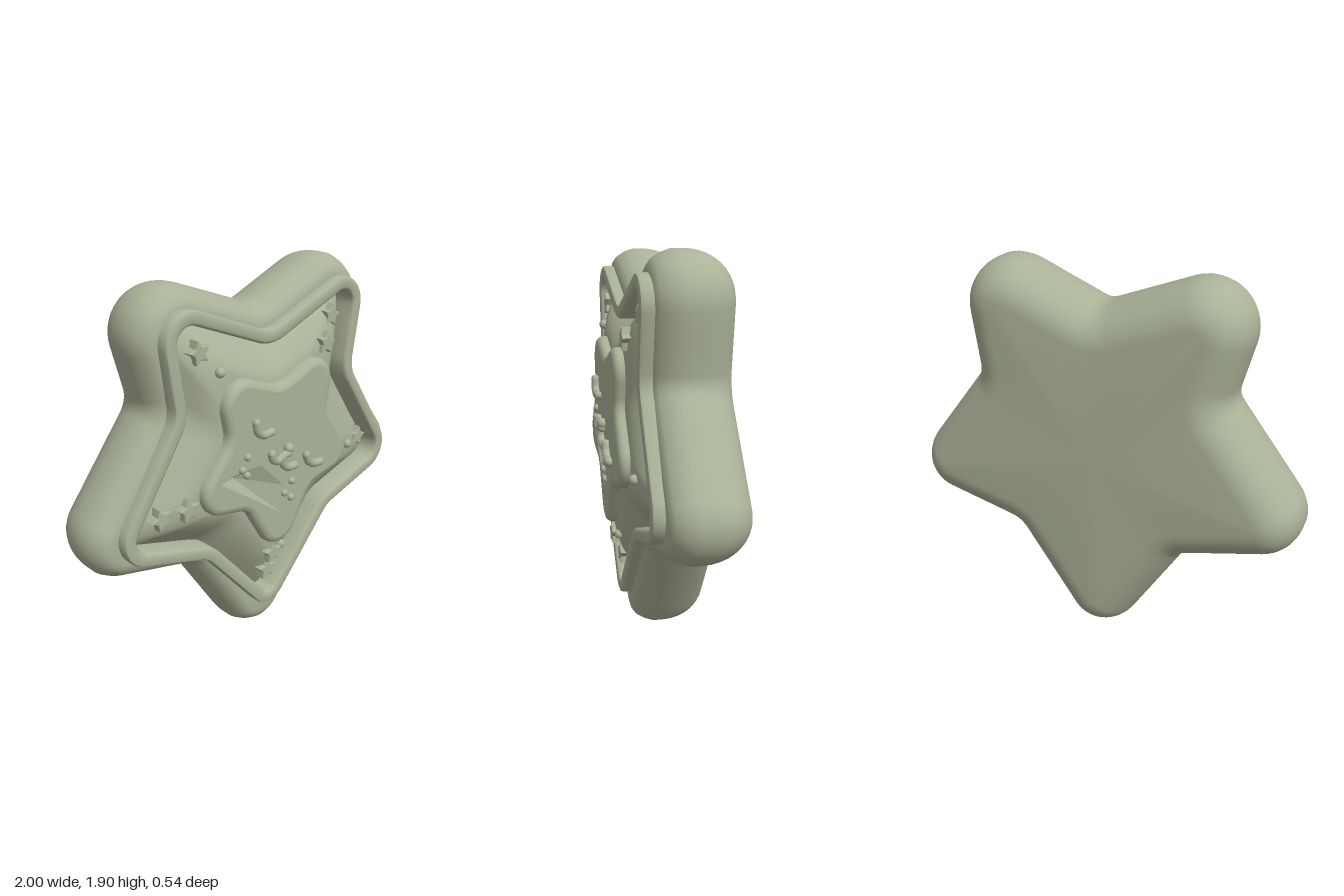
import * as THREE from 'three';
import { toCreasedNormals } from 'three/addons/utils/BufferGeometryUtils.js';

const sage = new THREE.MeshStandardMaterial({ color: 0xaab298 });
sage.name = 'sage';

// Rounded star from circles [x, y, r]: r > 0 is a tip, r < 0 a notch.
// Returns loop(inset, z), which always has the same point count.
function roundedStar(circles) {
  const n = circles.length, pts = [];
  const tangent = circles.map(([x, y, r], i) => {
    const [x2, y2, r2] = circles[(i + 1) % n];
    return Math.atan2(y2 - y, x2 - x) - Math.acos((r - r2) / Math.hypot(x2 - x, y2 - y));
  });
  const at = (i, a) => {
    const [x, y, r] = circles[i % n];
    return { x: x + r * Math.cos(a), y: y + r * Math.sin(a), nx: Math.cos(a), ny: Math.sin(a) };
  };
  const TAU = Math.PI * 2, ARC = 14, LINE = 5;
  for (let i = 0; i < n; i++) {
    const start = tangent[(i + n - 1) % n];
    let sweep = (((tangent[i] - start) % TAU) + TAU) % TAU;
    if (circles[i][2] < 0) sweep -= TAU;
    for (let k = 0; k <= ARC; k++) pts.push(at(i, start + sweep * k / ARC));
    const a = at(i, tangent[i]), b = at(i + 1, tangent[i]);
    for (let k = 1; k < LINE; k++) {
      const t = k / LINE;
      pts.push({ x: a.x + (b.x - a.x) * t, y: a.y + (b.y - a.y) * t, nx: a.nx, ny: a.ny });
    }
  }
  return (inset, z) => pts.map(p => new THREE.Vector3(p.x - p.nx * inset, p.y - p.ny * inset, z));
}

// Skin over loops running back to front, with an optional fan at the back
function loft(loops, backCentre) {
  const n = loops[0].length, pos = loops.flat().flatMap(p => [p.x, p.y, p.z]), index = [];
  for (let i = 0; i < loops.length - 1; i++) {
    for (let j = 0; j < n; j++) {
      const a = i * n + j, b = i * n + (j + 1) % n;
      index.push(a, b, b + n, a, b + n, a + n);
    }
  }
  if (backCentre) {
    const c = pos.length / 3;
    pos.push(...backCentre);
    for (let j = 0; j < n; j++) index.push(c, (j + 1) % n, j);
  }
  const g = new THREE.BufferGeometry();
  g.setAttribute('position', new THREE.Float32BufferAttribute(pos, 3));
  g.setIndex(index);
  return toCreasedNormals(g, 0.65);
}

export function createModel() {
  const model = new THREE.Group();
  model.name = 'starDish';
  const add = (name, geometry, parent = model) => {
    const mesh = new THREE.Mesh(geometry, sage);
    mesh.name = name;
    parent.add(mesh);
    return mesh;
  };
  const group = name => {
    const g = new THREE.Group();
    g.name = name;
    model.add(g);
    return g;
  };

  const bodyStar = roundedStar([
    [0, 0.195, 0.195], [0.517, 0.426, -0.1], [0.8, 0.81, 0.2], [0.75, 1.364, -0.1], [0.46, 1.675, 0.23],
    [0, 1.86, -0.12], [-0.48, 1.67, 0.225], [-0.74, 1.38, -0.1], [-0.8, 0.81, 0.2], [-0.5, 0.43, -0.1]]);
  const ringStar = roundedStar([
    [0, 0.285, 0.12], [0.515, 0.455, -0.15], [0.74, 0.83, 0.14], [0.73, 1.365, -0.15], [0.485, 1.665, 0.14],
    [0, 1.785, -0.15], [-0.48, 1.665, 0.14], [-0.73, 1.375, -0.15], [-0.74, 0.83, 0.14], [-0.5, 0.455, -0.15]]);
  const plateStar = roundedStar([
    [0, 0.67, 0.12], [0.28, 0.71, -0.1], [0.36, 0.95, 0.12], [0.43, 1.215, -0.1], [0.23, 1.34, 0.12],
    [0, 1.54, -0.15], [-0.23, 1.34, 0.12], [-0.43, 1.215, -0.1], [-0.36, 0.95, 0.12], [-0.28, 0.71, -0.1]]);

  // Pillowy body with a flat back
  const body = [];
  for (let k = 0; k <= 10; k++) {
    const a = k / 10 * Math.PI / 2;
    body.push(bodyStar(0.185 * (1 - Math.sin(a)), -0.05 - 0.22 * Math.cos(a)));
  }
  body.push(bodyStar(0, 0), bodyStar(0.015, 0.045), bodyStar(0.04, 0.085), bodyStar(0.065, 0.103),
    bodyStar(0.09, 0.11), ringStar(0.01, 0.11));
  add('body', loft(body, [0, 1, -0.27]));

  // Raised rim with its inner wall
  add('rim', loft([
    ringStar(0, 0.1), ringStar(0, 0.152), ringStar(0.005, 0.161), ringStar(0.015, 0.165),
    ringStar(0.05, 0.165), ringStar(0.06, 0.16), ringStar(0.065, 0.15), ringStar(0.065, 0.04)]));

  // Domed floor rising from the rim to the middle plate
  const edge = ringStar(0.065, 0.05), middle = plateStar(0.02, 0.185), floor = [];
  for (let k = 0; k <= 12; k++) {
    const t = k / 12, z = 0.05 + 0.135 * Math.sin(t * Math.PI / 2);
    floor.push(edge.map((p, j) => p.clone().lerp(middle[j], t).setZ(z)));
  }
  add('floor', loft(floor));
  const floorPoints = floor.flat();
  const floorHeight = (x, y) => floorPoints.reduce((best, p) =>
    Math.hypot(p.x - x, p.y - y) < Math.hypot(best.x - x, best.y - y) ? p : best).z;

  // Middle plate, its face pierced by a shallow dent
  add('plateSide', loft([
    plateStar(0, 0.15), plateStar(0, 0.205), plateStar(0.006, 0.22), plateStar(0.018, 0.231), plateStar(0.035, 0.235)]));
  const face = new THREE.Shape(plateStar(0.035, 0).map(p => new THREE.Vector2(p.x, p.y)));
  const dentRim = [[-0.39, 1.0], [0, 0.72], [0.01, 0.87], [-0.14, 1.02], [-0.32, 1.02]];
  face.holes.push(new THREE.Path(dentRim.map(p => new THREE.Vector2(...p))));
  add('plateFace', new THREE.ShapeGeometry(face)).position.z = 0.235;
  const dent = new THREE.BufferGeometry();
  dent.setAttribute('position', new THREE.Float32BufferAttribute(dentRim.flatMap((p, i) =>
    [-0.28, 0.985, 0.185, ...p, 0.235, ...dentRim[(i + 1) % 5], 0.235]), 3));
  dent.computeVertexNormals();
  add('plateDent', dent);

  // Sleeping eyes and mouth drawn with round-ended strokes
  const stroke = (name, points) => {
    const g = group(name), r = 0.021;
    const path = points.map(([x, y]) => new THREE.Vector3(x, y, 0.25));
    add(name + 'Line', new THREE.TubeGeometry(new THREE.CatmullRomCurve3(path), 20, r, 10), g);
    for (const p of [path[0], path[path.length - 1]]) {
      add(name + 'End', new THREE.SphereGeometry(r, 12, 8), g).position.copy(p);
    }
  };
  stroke('rightEye', [[-0.185, 1.25], [-0.175, 1.205], [-0.14, 1.18], [-0.09, 1.182]]);
  stroke('leftEye', [[0.155, 0.99], [0.17, 0.955], [0.205, 0.93], [0.255, 0.925]]);
  stroke('upperMouth', [[-0.085, 1.065], [-0.075, 1.035], [-0.045, 1.02], [-0.01, 1.035], [0.03, 1.04]]);
  stroke('lowerMouth', [[-0.01, 1.03], [-0.005, 0.99], [0.025, 0.965], [0.07, 0.962]]);
  add('nose', new THREE.SphereGeometry(0.026, 14, 10)).position.set(0.03, 1.063, 0.248);

  // Cheek beads
  const cheeks = group('cheekBeads');
  for (const [x, y] of [[-0.23, 1.09], [-0.265, 1.035], [-0.235, 1.0], [0.065, 0.875], [0.015, 0.825], [0.06, 0.787]]) {
    add('cheekBead', new THREE.SphereGeometry(0.019, 12, 8), cheeks).position.set(x, y, 0.238);
  }

  // Little stars and beads on the arms
  const starShape = new THREE.Shape(Array.from({ length: 10 }, (_, i) => {
    const a = Math.PI / 2 + i * Math.PI / 5, r = i % 2 ? 0.026 : 0.05;
    return new THREE.Vector2(r * Math.cos(a), r * Math.sin(a));
  }));
  const starGeometry = new THREE.ExtrudeGeometry(starShape, {
    depth: 0.05, bevelThickness: 0.006, bevelSize: 0.005, bevelSegments: 2 });
  const charms = group('armCharms');
  const stars = [[-0.43, 1.61, 0.2], [0.43, 1.62, -0.2], [0.34, 1.51, -0.2], [-0.67, 0.89, 0.3],
    [-0.55, 0.91, 0.1], [0.68, 0.905, -0.2], [-0.015, 0.48, 0], [-0.015, 0.365, 0]];
  for (const [x, y, turn] of stars) {
    const star = add('smallStar', starGeometry, charms);
    star.position.set(x, y, floorHeight(x, y) - 0.028);
    star.rotation.z = turn;
  }
  for (const [x, y] of [[-0.34, 1.51], [0.06, 0.495], [0.545, 0.915]]) {
    add('armBead', new THREE.SphereGeometry(0.024, 14, 10), charms).position.set(x, y, floorHeight(x, y) + 0.006);
  }
  return model;
}
